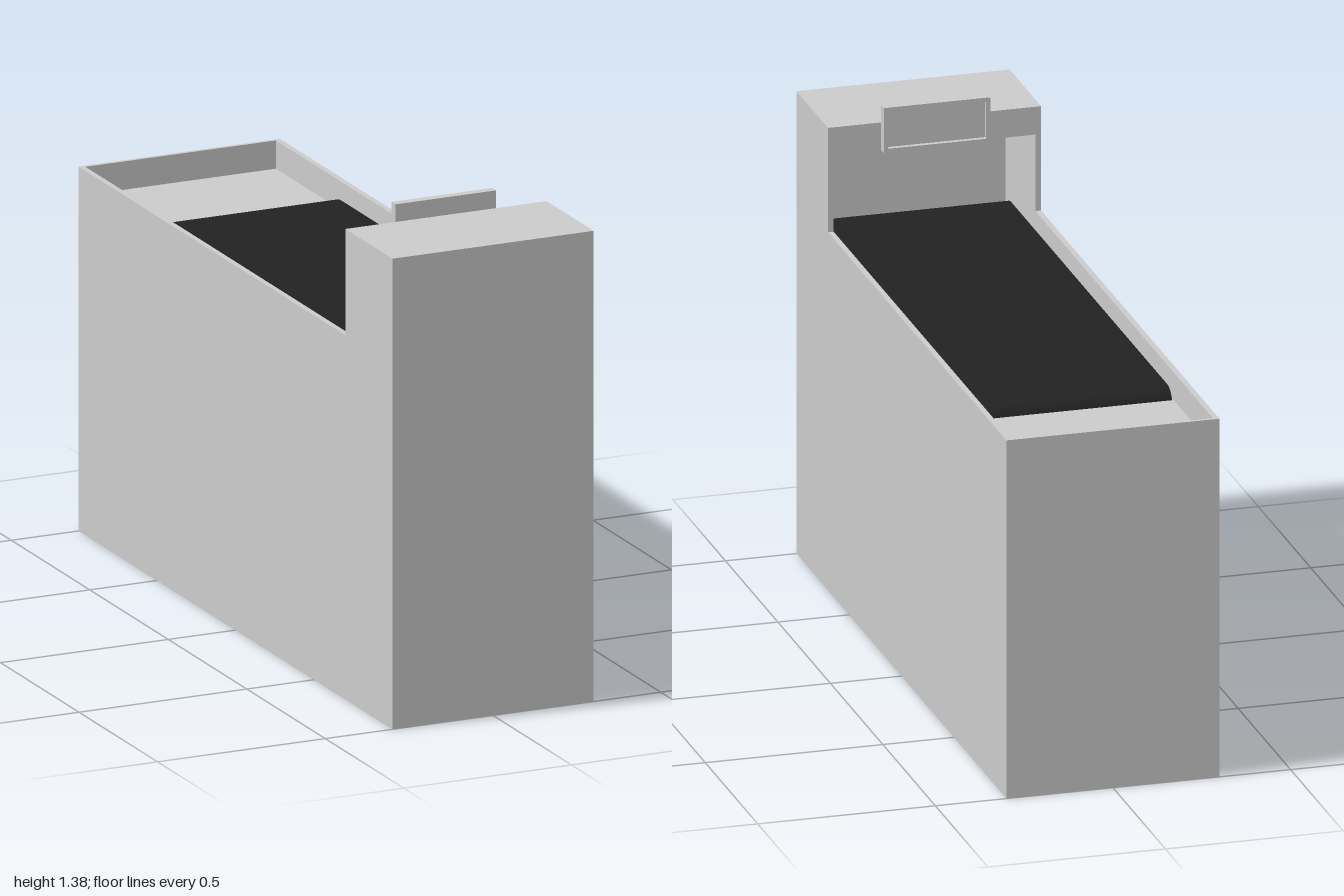
import * as THREE from 'three';

export function createModel() {
  const group = new THREE.Group();
  const grey = new THREE.MeshStandardMaterial({ color: 0xcccccc });
  const black = new THREE.MeshStandardMaterial({ color: 0x222222 });

  const add = (name, geometry, material = grey) => {
    const mesh = new THREE.Mesh(geometry, material);
    mesh.name = name;
    group.add(mesh);
    return mesh;
  };
  // Box given by its lower and upper corners
  const box = (name, [x0, y0, z0], [x1, y1, z1]) =>
    add(name, new THREE.BoxGeometry(x1 - x0, y1 - y0, z1 - z0))
      .position.set((x0 + x1) / 2, (y0 + y1) / 2, (z0 + z1) / 2);
  // Profile drawn in (z, y), extruded across x and centred on x
  const acrossX = (shape, width, x) => {
    const g = new THREE.ExtrudeGeometry(shape, { depth: width, bevelEnabled: false, curveSegments: 12 });
    return g.translate(0, 0, -width / 2).rotateY(-Math.PI / 2).translate(x, 0, 0);
  };

  const W = 0.3, T = 0.016, IN = W - T;          // half width, wall, inner half width
  const DECK = 0.95, RIM = 1.03, TOP = 1.33;     // heights
  const TOWER = 0.7, BACK = -0.99, FRONT = 0.984; // z positions

  // L-shaped side walls
  const side = new THREE.Shape([
    [-1, 0], [1, 0], [1, TOP], [TOWER, TOP], [TOWER, RIM], [-1, RIM],
  ].map(([z, y]) => new THREE.Vector2(z, y)));
  for (const s of [1, -1]) add(s > 0 ? 'leftWall' : 'rightWall', acrossX(side, T, s * (W - T / 2)));

  // Solid base under the deck, end walls and the hollow tower
  box('deckBase', [-IN, 0, BACK], [IN, DECK, FRONT]);
  box('backWall', [-IN, 0, -1], [IN, RIM, BACK]);
  box('frontWall', [-IN, 0, FRONT], [IN, TOP, 1]);
  box('towerRoof', [-IN, TOP - T, TOWER], [IN, TOP, FRONT]);
  box('towerLintel', [-IN, 1.25, TOWER], [IN, TOP - T, TOWER + T]);

  // Conveyor belt with round ends, its lower run sunk into the deck
  const r = 0.05, z0 = -0.57, z1 = 0.92, y = 0.93;
  const belt = new THREE.Shape();
  belt.moveTo(z0, y - r);
  belt.lineTo(z1, y - r);
  belt.absarc(z1, y, r, -Math.PI / 2, Math.PI / 2, false);
  belt.lineTo(z0, y + r);
  belt.absarc(z0, y, r, Math.PI / 2, Math.PI * 1.5, false);
  add('conveyorBelt', acrossX(belt, 0.56, 0), black);

  // Framed display on the tower, facing the belt
  const rect = (Kind, w, h) => new Kind([[-w, -h], [w, -h], [w, h], [-w, h]]
    .map(([a, b]) => new THREE.Vector2(a, b)));
  const frame = rect(THREE.Shape, 0.15, 0.065);
  frame.holes.push(rect(THREE.Path, 0.138, 0.053));
  const bezel = new THREE.ExtrudeGeometry(frame, { depth: 0.025, bevelEnabled: false });
  add('displayFrame', bezel).position.set(0, 1.315, 0.675);
  box('displayPanel', [-0.138, 1.262, 0.688], [0.138, 1.368, 0.7]);

  return group;
}
